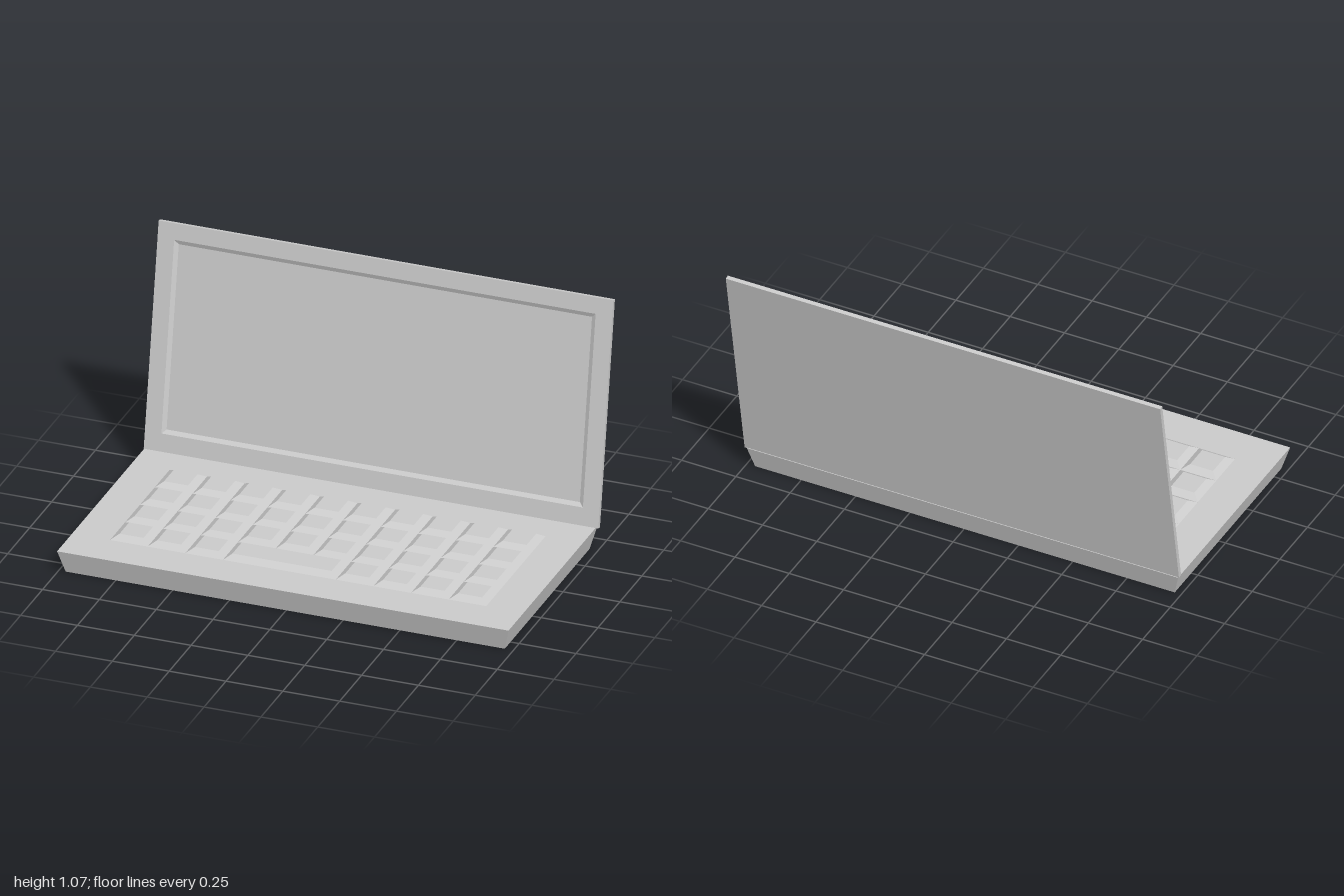
import * as THREE from 'three';

const grey = new THREE.MeshStandardMaterial({ color: 0xcccccc, flatShading: true, side: THREE.DoubleSide });

// Skin a list of rectangles [x0, x1, z0, z1, y], each joined to the next
function loft(name, rings, { capStart = false, capEnd = false } = {}) {
  const corners = rings.map(([x0, x1, z0, z1, y]) => [[x0, y, z1], [x1, y, z1], [x1, y, z0], [x0, y, z0]]);
  const pos = [];
  const quad = (a, b, c, d) => pos.push(...a, ...b, ...c, ...a, ...c, ...d);
  for (let r = 0; r < corners.length - 1; r++) {
    const lo = corners[r], hi = corners[r + 1];
    for (let i = 0; i < 4; i++) {
      const j = (i + 1) % 4;
      quad(lo[i], lo[j], hi[j], hi[i]);
    }
  }
  if (capStart) quad(...[...corners[0]].reverse());
  if (capEnd) quad(...corners[corners.length - 1]);
  const geo = new THREE.BufferGeometry();
  geo.setAttribute('position', new THREE.Float32BufferAttribute(pos, 3));
  geo.computeVertexNormals();
  const mesh = new THREE.Mesh(geo, grey);
  mesh.name = name;
  return mesh;
}

export function createModel() {
  const model = new THREE.Group();
  model.name = 'laptop';

  // Keyboard layout
  const deckY = 0.1, keyHeight = 0.02, bevel = 0.03;
  const keysX = -0.832, keysZ = -0.26, pitchX = 0.1655, pitchZ = 0.169;
  const columns = 10, rows = 4;

  // Tapered base, open underneath, with the deck framing the keyboard
  model.add(loft('base', [
    [-0.97, 0.962, -0.4, 0.565, 0],
    [-0.998, 0.988, -0.425, 0.59, deckY],
    [keysX, keysX + columns * pitchX, keysZ, keysZ + rows * pitchZ, deckY],
  ]));

  // Hollow bevelled keys; the front row has a three-column space bar
  const keyboard = new THREE.Group();
  keyboard.name = 'keyboard';
  for (let row = 0; row < rows; row++) {
    for (let col = 0, span; col < columns; col += span) {
      const isBar = row === rows - 1 && col === 3;
      span = isBar ? 3 : 1;
      const x0 = keysX + col * pitchX, x1 = x0 + span * pitchX;
      const z0 = keysZ + row * pitchZ, z1 = z0 + pitchZ;
      keyboard.add(loft(isBar ? 'spaceBar' : 'key', [
        [x0, x1, z0, z1, deckY],
        [x0 + bevel, x1 - bevel, z0 + bevel, z1 - bevel, deckY + keyHeight],
      ], { capEnd: true }));
    }
  }
  model.add(keyboard);

  // Lid lofted from back to front, ending in the recessed screen
  const lidHeight = 0.985, thickness = 0.019;
  const lid = loft('lid', [
    [-1, 1, -lidHeight, 0, -thickness],
    [-1, 1, -lidHeight, 0, 0],
    [-0.927, 0.927, -0.914, -0.078, 0],
    [-0.909, 0.909, -0.896, -0.096, -0.009],
  ], { capStart: true, capEnd: true });
  lid.position.set(0, deckY, -0.402);
  lid.rotation.x = Math.PI / 2 - 0.174;
  model.add(lid);

  return model;
}
